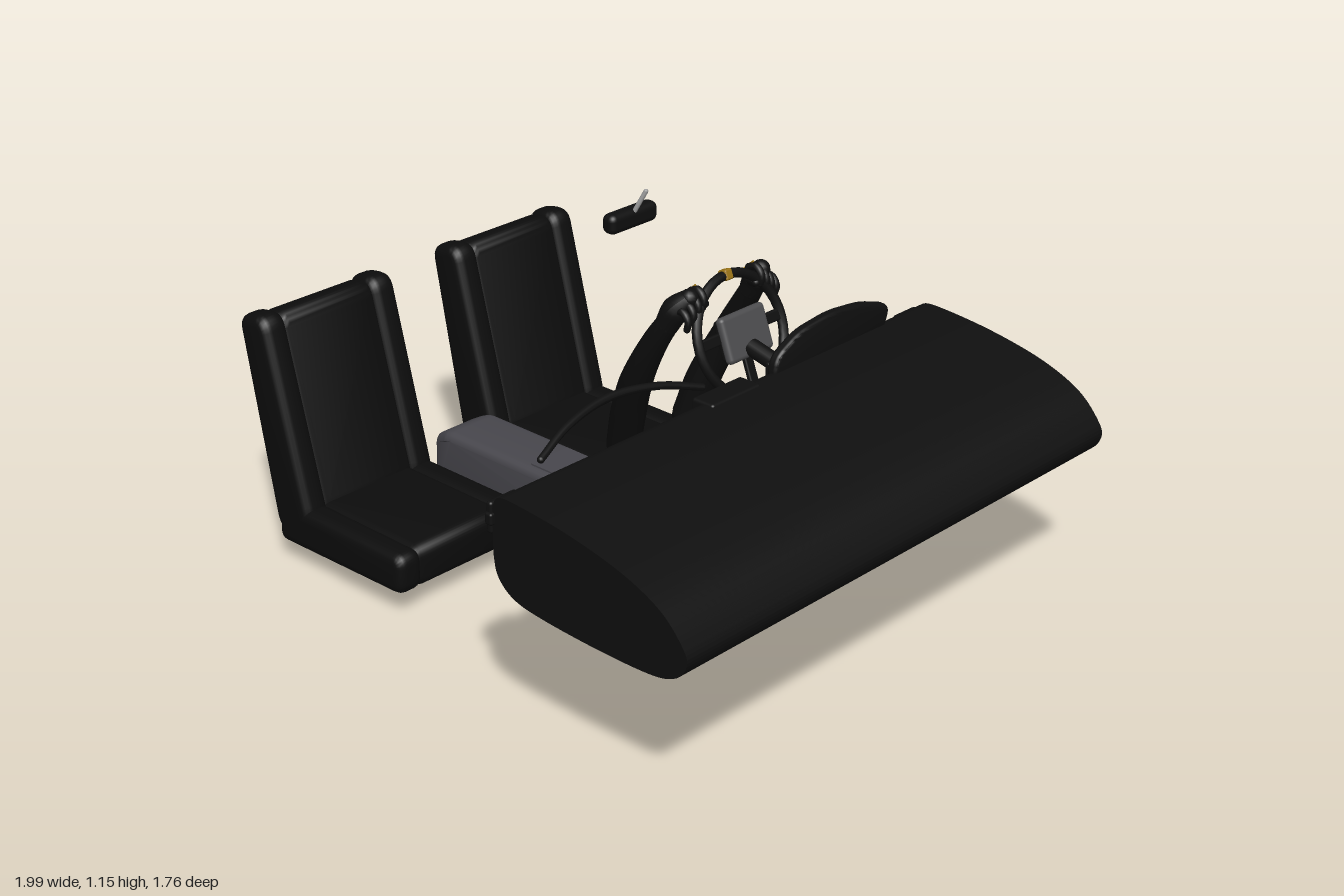
import * as THREE from 'three';
import { toCreasedNormals } from 'three/addons/utils/BufferGeometryUtils.js';
import { RoundedBoxGeometry } from 'three/addons/geometries/RoundedBoxGeometry.js';

const mat = (name, color) => {
  const m = new THREE.MeshStandardMaterial({ color });
  m.name = name;
  return m;
};
const M = {
  black: mat('dash black', 0x0f0f0f),
  seat: mat('seat black', 0x0c0c0c),
  grey: mat('console grey', 0x48474d),
  hub: mat('hub grey', 0x4c4c4e),
  silver: mat('silver trim', 0x9a9a9a),
  yellow: mat('glove yellow', 0x9a7418),
};
const V = (x, y, z) => new THREE.Vector3(x, y, z);

function add(parent, name, geo, material, x = 0, y = 0, z = 0) {
  const m = new THREE.Mesh(geo, material);
  m.name = name;
  m.position.set(x, y, z);
  parent.add(m);
  return m;
}
const box = (p, name, material, size, pos, r = 0) => add(p, name,
  r ? new RoundedBoxGeometry(...size, 3, r) : new THREE.BoxGeometry(...size), material, ...pos);

// Outline extruded along z, centred on z = 0, with the bevel kept inside the outline
function extrude(shape, width, bevel) {
  const g = new THREE.ExtrudeGeometry(shape, {
    depth: width - 2 * bevel, bevelEnabled: bevel > 0, bevelSize: bevel, bevelThickness: bevel,
    bevelOffset: -bevel, bevelSegments: 4, curveSegments: 8,
  });
  g.translate(0, 0, -width / 2 + bevel);
  return toCreasedNormals(g, 0.7);
}

// Closed polygon with rounded corners
function rounded(points, r) {
  const s = new THREE.Shape();
  const pts = points.map(p => new THREE.Vector2(...p));
  pts.forEach((p, i) => {
    const toward = q => p.clone().add(q.clone().sub(p).setLength(Math.min(r, p.distanceTo(q) * 0.45)));
    const a = toward(pts[(i + pts.length - 1) % pts.length]);
    const b = toward(pts[(i + 1) % pts.length]);
    if (i) s.lineTo(a.x, a.y); else s.moveTo(a.x, a.y);
    s.quadraticCurveTo(p.x, p.y, b.x, b.y);
  });
  s.closePath();
  return s;
}

// Tube whose radius runs through a list of values, with round ends
function limb(parent, name, points, radii, material, segs = 24) {
  const curve = new THREE.CatmullRomCurve3(points);
  const g = new THREE.TubeGeometry(curve, segs, 1, 14);
  const pos = g.attributes.position;
  const v = V(0, 0, 0);
  for (let i = 0; i <= segs; i++) {
    const c = curve.getPointAt(i / segs);
    const t = i / segs * (radii.length - 1);
    const k = Math.min(Math.floor(t), radii.length - 2);
    const r = THREE.MathUtils.lerp(radii[k], radii[k + 1], t - k);
    for (let j = 0; j <= 14; j++) {
      v.fromBufferAttribute(pos, i * 15 + j).sub(c).multiplyScalar(r).add(c);
      pos.setXYZ(i * 15 + j, v.x, v.y, v.z);
    }
  }
  g.computeVertexNormals();
  add(parent, name, g, material);
  [[points[0], radii[0]], [points.at(-1), radii.at(-1)]].forEach(([p, r]) =>
    add(parent, name + 'End', new THREE.SphereGeometry(r, 14, 10), material, p.x, p.y, p.z));
}

function makeSeat(z) {
  const seat = new THREE.Group();
  seat.name = 'seat';
  seat.position.z = z;
  const cushion = d => rounded([[-0.87, 0.05 + d], [-0.33 - d, 0.07], [-0.33 - d, 0.2 - d], [-0.86, 0.2 - d]], 0.04);
  const back = d => rounded([[-0.87 + d, 0.1], [-1 + d, 0.755 - d], [-0.88 - d, 0.775 - d], [-0.72 - d, 0.16], [-0.74, 0.08]], 0.05);
  add(seat, 'cushion', extrude(cushion(0), 0.35, 0.025), M.seat);
  add(seat, 'backrest', extrude(back(0.008), 0.35, 0.025), M.seat);
  for (const s of [-1, 1]) {
    add(seat, 'cushionBolster', extrude(rounded([[-0.87, 0.065], [-0.32, 0.075], [-0.32, 0.2], [-0.86, 0.2]], 0.04), 0.09, 0.03), M.seat, 0, 0, s * 0.207);
    add(seat, 'backBolster', extrude(back(0), 0.09, 0.03), M.seat, 0, 0, s * 0.207);
  }
  return seat;
}

function makeDashboard() {
  const dash = new THREE.Group();
  dash.name = 'dashboard';
  const outline = new THREE.Shape();
  outline.moveTo(0.33, 0.69);
  outline.splineThru([[0.35, 0.725], [0.42, 0.73], [0.6, 0.712], [0.78, 0.675], [0.91, 0.62], [0.985, 0.545],
    [0.995, 0.5], [0.96, 0.455], [0.88, 0.432], [0.7, 0.428], [0.5, 0.437], [0.4, 0.455], [0.345, 0.5], [0.33, 0.56]]
    .map(p => new THREE.Vector2(...p)));
  outline.closePath();
  const body = new THREE.ExtrudeGeometry(outline, { depth: 1.73, bevelEnabled: false, curveSegments: 40 });
  body.translate(0, 0, -0.865);
  add(dash, 'dashBody', toCreasedNormals(body, 0.7), M.black);
  box(dash, 'trimStrip', M.silver, [0.008, 0.012, 1.72], [0.328, 0.625, 0]);
  box(dash, 'centreScreen', M.black, [0.08, 0.22, 0.2], [0.355, 0.627, 0.01], 0.01);
  box(dash, 'passengerPlate', M.silver, [0.006, 0.04, 0.15], [0.327, 0.675, 0.52]);
  for (const s of [-1, 1]) {
    box(dash, 'sideVent', M.black, [0.02, 0.09, 0.1], [0.32, 0.66, s * 0.82], 0.008);
    box(dash, 'endKnob', M.black, [0.025, 0.035, 0.02], [0.325, 0.66, s * 0.868], 0.007);
  }
  // Instrument panel behind the wheel and the hood over it
  box(dash, 'instrumentPanel', M.black, [0.02, 0.17, 0.42], [0.318, 0.655, -0.41], 0.008);
  const hood = rounded([[0.17, 0.7], [0.18, 0.775], [0.28, 0.825], [0.42, 0.84], [0.56, 0.825], [0.685, 0.785], [0.65, 0.7]], 0.04);
  add(dash, 'instrumentHood', extrude(hood, 0.035, 0.012), M.black, 0.355, 0, 0).rotation.y = Math.PI / 2;
  // Arched bar above the passenger side
  limb(dash, 'archBar', [V(0.4, 0.812, 0.16), V(0.365, 0.848, 0.29), V(0.345, 0.865, 0.46), V(0.365, 0.848, 0.63), V(0.4, 0.812, 0.76)],
    [0.01, 0.012, 0.01], M.black);
  return dash;
}

function makeSteering() {
  const wheel = new THREE.Group();
  wheel.name = 'steeringWheel';
  wheel.position.set(0.063, 0.695, -0.38);
  wheel.rotation.z = 0.36;
  add(wheel, 'rim', new THREE.TorusGeometry(0.178, 0.015, 10, 40), M.black).rotation.y = Math.PI / 2;
  box(wheel, 'topMarker', M.yellow, [0.033, 0.033, 0.03], [0, 0.178, 0], 0.006);
  box(wheel, 'hub', M.hub, [0.03, 0.14, 0.19], [0.015, 0, 0], 0.014);
  box(wheel, 'hubPad', M.black, [0.02, 0.12, 0.17], [-0.008, 0, 0], 0.008);
  for (const s of [-1, 1]) box(wheel, 'sideSpoke', M.black, [0.016, 0.035, 0.1], [0, 0.01, s * 0.13], 0.006);
  box(wheel, 'lowerSpoke', M.black, [0.016, 0.12, 0.035], [0, -0.115, 0], 0.006);
  return wheel;
}

// Sleeve, gloved hand and fingers; s is the side of the wheel
function makeArm(s) {
  const arm = new THREE.Group();
  arm.name = 'driverArm';
  arm.position.z = -0.38;
  limb(arm, 'sleeve', [V(-0.27, 0.28, s * 0.145), V(-0.23, 0.41, s * 0.165), V(-0.17, 0.55, s * 0.188), V(-0.1, 0.68, s * 0.19), V(-0.05, 0.76, s * 0.182)],
    [0.053, 0.054, 0.05, 0.042, 0.034], M.seat);
  limb(arm, 'gloveHand', [V(-0.06, 0.745, s * 0.183), V(-0.03, 0.8, s * 0.175), V(0.0, 0.835, s * 0.155)], [0.036, 0.042, 0.028], M.black, 12);
  for (let i = 0; i < 4; i++) {
    const z = s * (0.125 + i * 0.022), y = 0.853 - i * 0.016;
    limb(arm, 'finger', [V(-0.02, y - 0.01, z), V(0.008, y, z), V(0.03, y - 0.025, z), V(0.025, y - 0.05, z)], [0.012, 0.012, 0.01], M.black, 10);
    const line = box(arm, 'gloveStripe', M.yellow, [0.05, 0.005, 0.005], [-0.022, y - 0.004, z]);
    line.rotation.z = 0.75;
  }
  limb(arm, 'thumb', [V(-0.03, 0.79, s * 0.15), V(0, 0.8, s * 0.125), V(0.02, 0.81, s * 0.11)], [0.016, 0.012], M.black, 8);
  return arm;
}

export function createModel() {
  const model = new THREE.Group();
  model.name = 'carInterior';
  model.add(makeSeat(-0.38), makeSeat(0.372), makeDashboard(), makeSteering(), makeArm(-1), makeArm(1));

  // Centre console with a narrowed rear end
  const consoleShape = rounded([[-0.78, 0.05], [-0.7, 0.003], [0.44, 0.003], [0.48, 0.04], [0.492, 0.22], [0.475, 0.275], [0.42, 0.292], [-0.7, 0.292], [-0.775, 0.25]], 0.03);
  const g = extrude(consoleShape, 0.2, 0.025);
  const p = g.attributes.position;
  for (let i = 0; i < p.count; i++) {
    const t = THREE.MathUtils.clamp((-0.7 - p.getX(i)) / 0.08, 0, 1);
    p.setZ(i, p.getZ(i) * (1 - 0.25 * t));
  }
  add(model, 'centreConsole', toCreasedNormals(g, 0.7), M.grey);
  box(model, 'consoleLid', M.grey, [0.42, 0.008, 0.15], [-0.14, 0.293, 0]);

  // Steering column
  const column = add(model, 'steeringColumn', new THREE.CylinderGeometry(0.027, 0.027, 0.25, 16), M.black, 0.225, 0.637, -0.38);
  column.rotation.z = Math.PI / 2 - 0.23;

  // Rear-view mirror on its stalk
  box(model, 'mirror', M.black, [0.05, 0.06, 0.19], [-0.157, 1.063, -0.145], 0.02);
  limb(model, 'mirrorStalk', [V(-0.142, 1.08, -0.145), V(-0.128, 1.113, -0.155), V(-0.115, 1.145, -0.166)], [0.007, 0.007], M.silver, 4);
  return model;
}
